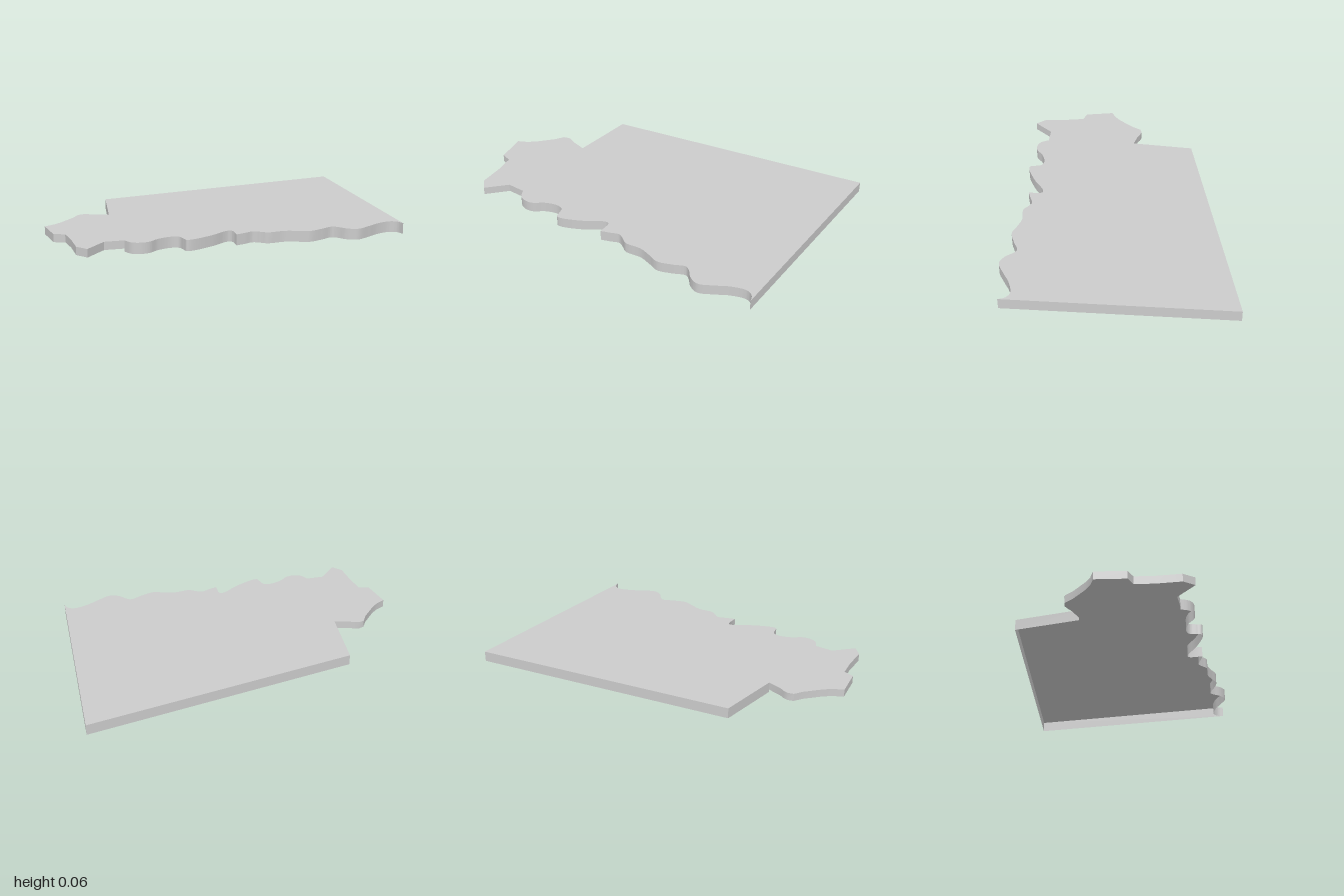
import * as THREE from 'three';
import { toCreasedNormals } from 'three/addons/utils/BufferGeometryUtils.js';

const TOP = 0.063;
const SIDE_BOTTOM = 0.017;
const grey = new THREE.MeshStandardMaterial({ color: 0xcccccc, side: THREE.DoubleSide });

// Plan points are [x, z] pairs, stored as (x, -z) for shapes
const toPlan = (pts) => pts.map(([x, z]) => new THREE.Vector2(x, -z));

function part(name, geometry) {
  const mesh = new THREE.Mesh(geometry, grey);
  mesh.name = name;
  return mesh;
}

// Flat sheet filling a plan outline at height y
function sheet(name, points, y) {
  const geo = new THREE.ShapeGeometry(new THREE.Shape(points));
  return part(name, geo.rotateX(-Math.PI / 2).translate(0, y, 0));
}

// Upright wall following an open plan outline, from height y to the top
function wall(name, points, y) {
  const position = [];
  for (let i = 0; i < points.length - 1; i++) {
    const a = points[i], b = points[i + 1];
    position.push(
      b.x, y, -b.y, a.x, y, -a.y, a.x, TOP, -a.y,
      b.x, y, -b.y, a.x, TOP, -a.y, b.x, TOP, -b.y,
    );
  }
  const geo = new THREE.BufferGeometry();
  geo.setAttribute('position', new THREE.Float32BufferAttribute(position, 3));
  return part(name, toCreasedNormals(geo, 0.6));
}

export function createModel() {
  const group = new THREE.Group();
  group.name = 'plate';

  // Main outline: straight back and sides, wavy front edge
  const path = new THREE.Path();
  path.moveTo(-0.61, 0.004);
  path.lineTo(-0.575, 0.382);
  path.lineTo(1, 0.672);
  path.lineTo(0.992, -0.609);
  path.splineThru(toPlan([
    [0.975, 0.569], [0.93, 0.55], [0.85, 0.574], [0.78, 0.614], [0.7, 0.654], [0.64, 0.635],
    [0.6, 0.592], [0.565, 0.575], [0.5, 0.604], [0.42, 0.63], [0.35, 0.61], [0.28, 0.593],
    [0.19, 0.602], [0.15, 0.58], [0.11, 0.56], [0.06, 0.578], [0.005, 0.597],
  ]));
  path.lineTo(0.005, -0.53);
  path.splineThru(toPlan([
    [-0.01, 0.511], [-0.05, 0.525], [-0.12, 0.573], [-0.22, 0.622], [-0.28, 0.635], [-0.294, 0.605],
    [-0.31, 0.563], [-0.36, 0.553], [-0.43, 0.577], [-0.48, 0.615], [-0.53, 0.625],
    [-0.58, 0.608], [-0.61, 0.56],
  ]));
  const main = path.getPoints(8);

  // Angular outline of the thinner side extension
  const side = toPlan([
    [-0.61, 0.56], [-0.72, 0.56], [-0.823, 0.672], [-0.875, 0.614], [-0.885, 0.474],
    [-0.905, 0.362], [-0.967, 0.344], [-1, 0.17], [-0.945, 0.142], [-0.9, 0.104],
    [-0.82, 0.014], [-0.79, -0.036], [-0.755, -0.047], [-0.725, -0.039], [-0.7, -0.026], [-0.61, -0.004],
  ]);

  // One continuous top; the main body is an open-bottomed shell
  group.add(
    sheet('topSheet', [...main, ...side.slice(1)], TOP),
    wall('mainWall', main, 0),
    wall('sideWall', side, SIDE_BOTTOM),
    sheet('sideBottom', side, SIDE_BOTTOM),
  );
  return group;
}
